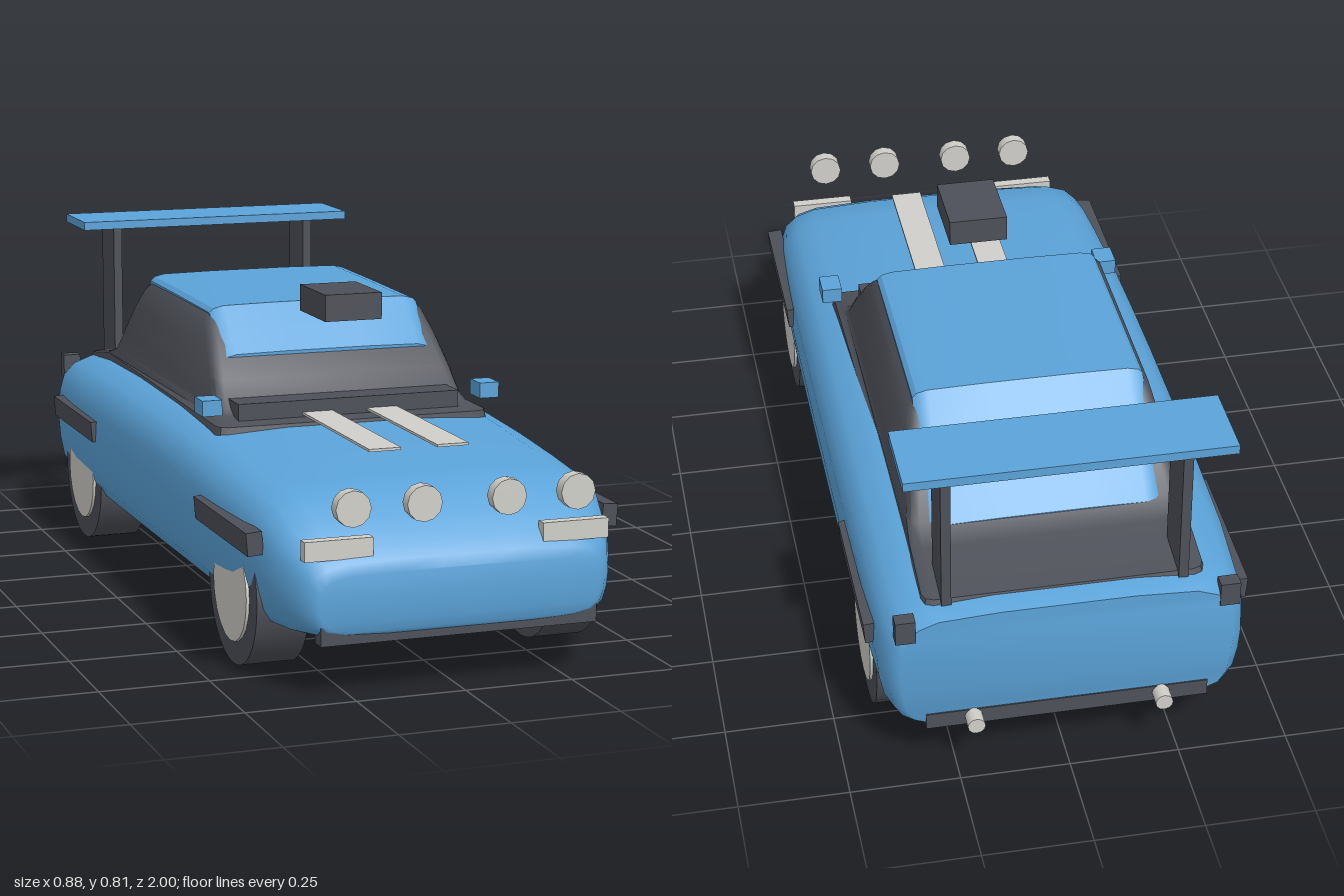
import * as THREE from 'three';
import { toCreasedNormals } from 'three/addons/utils/BufferGeometryUtils.js';

const material = (name, color) => Object.assign(new THREE.MeshStandardMaterial({ color }), { name });

// Skin a row of closed rings; caps join point i with point n-1-i
function loft(rings, crease = 0.7) {
  const n = rings[0].length, m = rings.length, idx = [], p = rings.flat();
  const quad = (a, b, c, d) => idx.push(a, b, c, a, c, d);
  for (let r = 0; r < m - 1; r++)
    for (let i = 0; i < n; i++) {
      const j = (i + 1) % n;
      quad(r * n + i, r * n + j, (r + 1) * n + j, (r + 1) * n + i);
    }
  for (let i = 0; i < n / 2 - 1; i++) {
    const o = (m - 1) * n;
    quad(n - 1 - i, n - 2 - i, i + 1, i);
    quad(o + i, o + i + 1, o + n - 2 - i, o + n - 1 - i);
  }
  // Turn all faces outward by the sign of the enclosed volume
  let volume = 0;
  const v = p.map(q => new THREE.Vector3(...q));
  for (let i = 0; i < idx.length; i += 3)
    volume += v[idx[i]].dot(v[idx[i + 1]].clone().cross(v[idx[i + 2]]));
  if (volume < 0) idx.reverse();
  const g = new THREE.BufferGeometry();
  g.setAttribute('position', new THREE.Float32BufferAttribute(p.flat(), 3));
  g.setIndex(idx);
  return toCreasedNormals(g, crease);
}

export function createModel() {
  const car = new THREE.Group();
  car.name = 'car';
  const blue = material('blue paint', 0x5ba3d9);
  const dark = material('dark trim', 0x4d5058);
  const pale = material('pale metal', 0xd0cfca);

  const add = (name, geometry, mat, x = 0, y = 0, z = 0) => {
    const mesh = new THREE.Mesh(geometry, mat);
    mesh.name = name;
    mesh.position.set(x, y, z);
    car.add(mesh);
    return mesh;
  };
  // Box given by its limits
  const box = (name, mat, x0, x1, y0, y1, z0, z1) =>
    add(name, new THREE.BoxGeometry(x1 - x0, y1 - y0, z1 - z0), mat, (x0 + x1) / 2, (y0 + y1) / 2, (z0 + z1) / 2);
  const rod = (name, mat, r, length, x, y, z, sides, axis = 'z') => {
    const g = new THREE.CylinderGeometry(r, r, length, sides);
    if (axis === 'z') g.rotateX(Math.PI / 2); else g.rotateZ(Math.PI / 2);
    return add(name, g, mat, x, y, z);
  };

  // Body: half section (width, height fractions) along stations z, halfWidth, bottom, top
  const half = [[0.5, 0], [0.8, 0.03], [0.92, 0.09], [0.965, 0.18], [0.99, 0.33], [1, 0.5],
    [0.99, 0.7], [0.96, 0.83], [0.89, 0.92], [0.77, 0.975], [0.4, 1], [0.12, 1]];
  const stations = [
    [-0.96, 0.375, 0.125, 0.43], [-0.93, 0.4, 0.115, 0.438], [-0.88, 0.415, 0.11, 0.447],
    [-0.7, 0.424, 0.108, 0.462], [-0.4, 0.427, 0.108, 0.47], [0, 0.427, 0.108, 0.468],
    [0.2, 0.426, 0.108, 0.463], [0.4, 0.425, 0.108, 0.452], [0.6, 0.421, 0.108, 0.437],
    [0.72, 0.417, 0.108, 0.426], [0.8, 0.408, 0.109, 0.416], [0.88, 0.388, 0.114, 0.37],
    [0.94, 0.36, 0.122, 0.322], [0.965, 0.34, 0.13, 0.295], [0.973, 0.325, 0.14, 0.27]];
  add('body', loft(stations.map(([z, w, b, t]) => {
    const side = half.map(([u, v]) => [u * w, b + v * (t - b), z]);
    return [...side, ...side.map(([x, y]) => [-x, y, z]).reverse()];
  }), 0.9), blue);

  // Cabin: rounded outlines stacked upward: yFront, yBack, zFront, zBack, wFront, wBack
  const levels = [
    [0.44, 0.42, 0.31, -0.92, 0.34, 0.32], [0.465, 0.446, 0.305, -0.91, 0.335, 0.315],
    [0.475, 0.47, 0.23, -0.76, 0.318, 0.315], [0.49, 0.49, 0.205, -0.69, 0.312, 0.31],
    [0.55, 0.55, 0.155, -0.64, 0.303, 0.3], [0.62, 0.62, 0.088, -0.575, 0.291, 0.29],
    [0.67, 0.67, 0.035, -0.525, 0.278, 0.278], [0.695, 0.698, 0.01, -0.5, 0.255, 0.255]];
  add('cabin', loft(levels.map(([yF, yB, zF, zB, wF, wB]) => {
    const r = 0.025, side = [];
    const corner = (w, z, y, from) => {
      for (let k = 0; k < 3; k++) {
        const a = from + k * Math.PI / 4;
        side.push([w + r * (Math.cos(a) - 1), y, z + r * Math.sin(a)]);
      }
    };
    corner(wB, zB + r, yB, -Math.PI / 2);
    corner(wF, zF - r, yF, 0);
    return [...side, ...side.map(([x, y, z]) => [-x, y, z]).reverse()];
  })), dark);

  // Painted shell over the windscreen top, roof and rear window
  const profile = [[0.113, 0.602], [0.06, 0.655], [0.01, 0.704], [-0.25, 0.708], [-0.495, 0.71], [-0.6, 0.604], [-0.705, 0.488]];
  const across = [[-0.265, 0.018], [-0.255, 0.008], [-0.23, 0.002], [-0.1, 0], [0.1, 0], [0.23, 0.002], [0.255, 0.008], [0.265, 0.018]];
  add('roofShell', loft(across.map(([x, drop]) => {
    const top = profile.map(([z, y]) => [x, y - drop, z]);
    const under = profile.map(([z, y]) => [x, y - drop - 0.012, z]).reverse();
    return [...top, ...under];
  }), 0.5), blue);

  // Hood details and loose intake
  box('cowl', dark, -0.275, 0.275, 0.46, 0.51, 0.18, 0.265);
  box('intake', dark, -0.07, 0.07, 0.697, 0.76, 0.11, 0.29);

  // Bumper lips
  box('frontLip', dark, -0.32, 0.32, 0.117, 0.167, 0.93, 0.969);
  box('rearLip', dark, -0.32, 0.32, 0.125, 0.165, -0.963, -0.92);

  // Wing
  box('wing', blue, -0.363, 0.363, 0.79, 0.811, -0.965, -0.775);

  for (const s of [1, -1]) {
    const pair = (name, mat, x0, x1, ...rest) => box(name, mat, Math.min(s * x0, s * x1), Math.max(s * x0, s * x1), ...rest);
    pair('wingPost', dark, 0.254, 0.276, 0.43, 0.79, -0.92, -0.805);
    pair('mirror', blue, 0.322, 0.37, 0.491, 0.528, 0.225, 0.288);
    pair('hoodStripe', pale, 0.043, 0.118, 0.476, 0.482, 0.2, 0.715);
    pair('indicator', pale, 0.197, 0.352, 0.301, 0.345, 0.928, 0.955);
    pair('tailLamp', dark, 0.34, 0.385, 0.375, 0.433, -0.963, -0.93);

    for (const x of [0.097, 0.258]) rod('headlamp', pale, 0.04, 0.03, s * x, 0.42, 0.985, 12);
    rod('exhaust', pale, 0.02, 0.06, s * 0.213, 0.147, -0.97, 12);

    for (const [z0, z1] of [[0.435, 0.82], [-0.84, -0.46]])
      pair('sideMoulding', dark, 0.4, 0.436, 0.29, 0.342, z0, z1).rotation.z = -s * 0.08;

    // Wheels
    for (const z of [0.63, -0.65]) {
      rod('tyre', dark, 0.173, 0.12, s * 0.348, 0.173, z, 32, 'x');
      rod('hub', pale, 0.12, 0.134, s * 0.348, 0.173, z, 20, 'x');
    }
  }
  return car;
}
